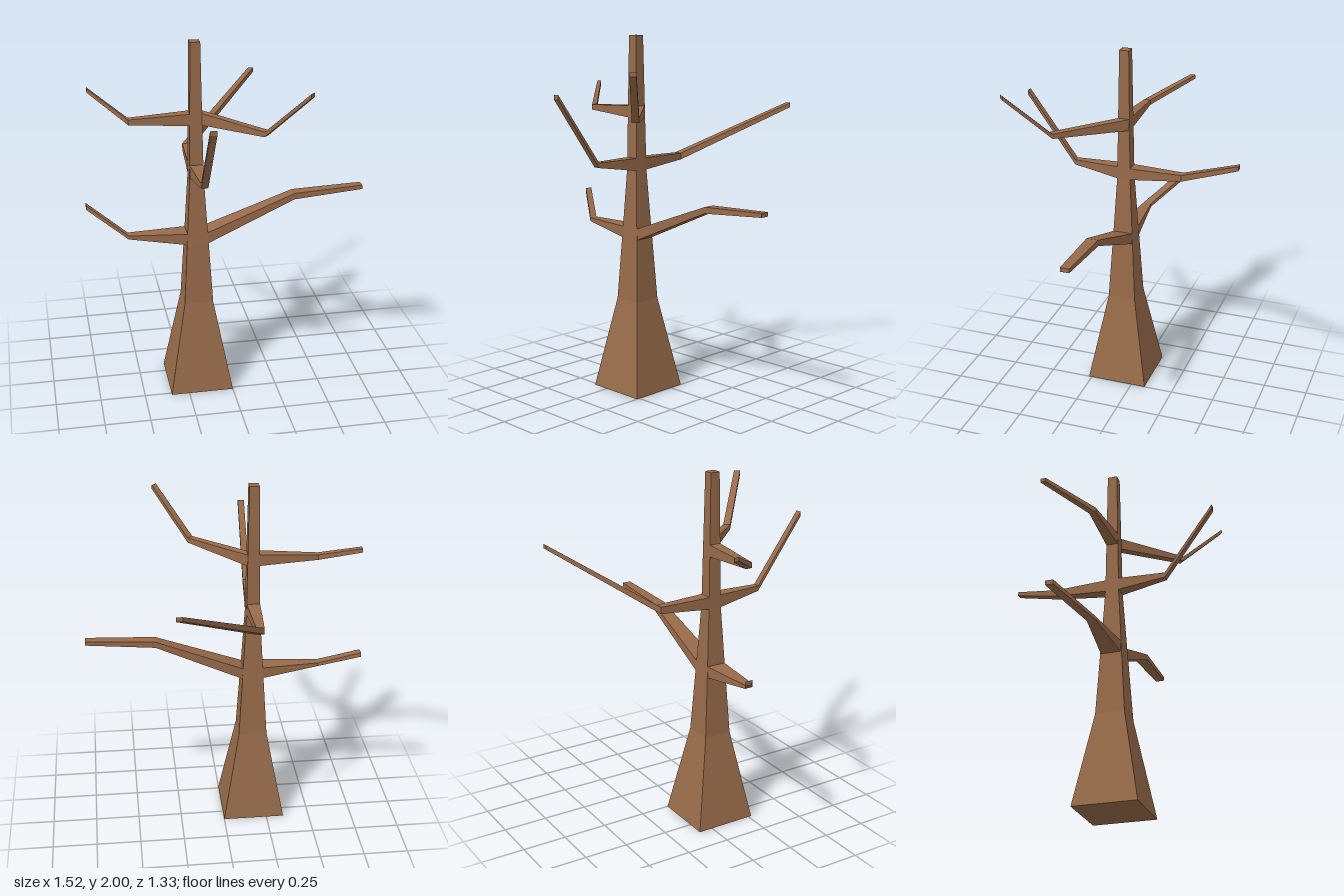
import * as THREE from 'three';

const CX = -0.175, CZ = 0.093; // trunk axis

// Joins four-cornered sections with flat faces and closes both ends
function loft(sections) {
  const pos = [];
  const quad = (a, b, c, d) => pos.push(...a, ...b, ...c, ...a, ...c, ...d);
  const [first, last] = [sections[0], sections[sections.length - 1]];
  for (let s = 0; s < sections.length - 1; s++) {
    const p = sections[s], q = sections[s + 1];
    for (let i = 0; i < 4; i++) {
      const j = (i + 1) % 4;
      quad(p[i], p[j], q[j], q[i]);
    }
  }
  quad(...last);
  quad(...[...first].reverse());
  const g = new THREE.BufferGeometry();
  g.setAttribute('position', new THREE.Float32BufferAttribute(pos, 3));
  g.computeVertexNormals();
  return g;
}

// Square level section of the trunk
const trunkSection = ([y, h]) => [[-h, h], [h, h], [h, -h], [-h, -h]].map(([x, z]) => [CX + x, y, CZ + z]);

// Upright section of a branch: right edge (ax, az), left edge (bx, bz), bottom and top heights
const branchSection = ([ax, az, bx, bz, y0, y1]) => [[ax, y0, az], [bx, y0, bz], [bx, y1, bz], [ax, y1, az]];

export function createModel() {
  const tree = new THREE.Group();
  tree.name = 'bareTree';
  const bark = new THREE.MeshStandardMaterial({ color: 0x986b4a, flatShading: true });
  bark.name = 'brown bark';

  const add = (name, sections) => {
    const mesh = new THREE.Mesh(loft(sections), bark);
    mesh.name = name;
    tree.add(mesh);
  };

  // Trunk: flared foot, then a long taper (height, half width)
  add('trunk', [[0, 0.175], [0.52, 0.08], [0.87, 0.06], [0.935, 0.056], [1.26, 0.038],
    [1.6, 0.033], [2, 0.027]].map(trunkSection));

  // Branches: root, elbow and tip
  const branches = {
    lowerLeftBranch: [
      [-0.12, 0.148, -0.12, 0.037, 0.87, 0.935],
      [0.37, 0.122, 0.37, 0.056, 1.085, 1.12],
      [0.758, 0.115, 0.758, 0.065, 1.115, 1.138]],
    lowerRightBranch: [
      [-0.23, 0.037, -0.23, 0.148, 0.87, 0.935],
      [-0.55, 0.065, -0.55, 0.112, 0.915, 0.935],
      [-0.762, -0.085, -0.762, -0.042, 1.04, 1.065]],
    upperRightBranch: [
      [-0.207, 0.06, -0.207, 0.126, 1.55, 1.615],
      [-0.53, 0.068, -0.53, 0.105, 1.568, 1.597],
      [-0.725, -0.142, -0.725, -0.112, 1.688, 1.71]],
    upperLeftBranch: [
      [-0.143, 0.126, -0.143, 0.06, 1.55, 1.615],
      [0.13, 0.418, 0.158, 0.39, 1.57, 1.597],
      [0.318, 0.61, 0.343, 0.585, 1.825, 1.848]],
    frontBranch: [
      [-0.212, 0.13, -0.138, 0.13, 1.258, 1.328],
      [-0.194, 0.39, -0.156, 0.39, 1.3, 1.328],
      [-0.193, 0.666, -0.157, 0.666, 1.685, 1.71]],
    backBranch: [
      [-0.138, 0.056, -0.212, 0.056, 1.258, 1.325],
      [-0.153, -0.237, -0.197, -0.237, 1.283, 1.32],
      [0.297, -0.667, 0.265, -0.667, 1.585, 1.61]],
  };
  for (const [name, rows] of Object.entries(branches)) add(name, rows.map(branchSection));
  return tree;
}
